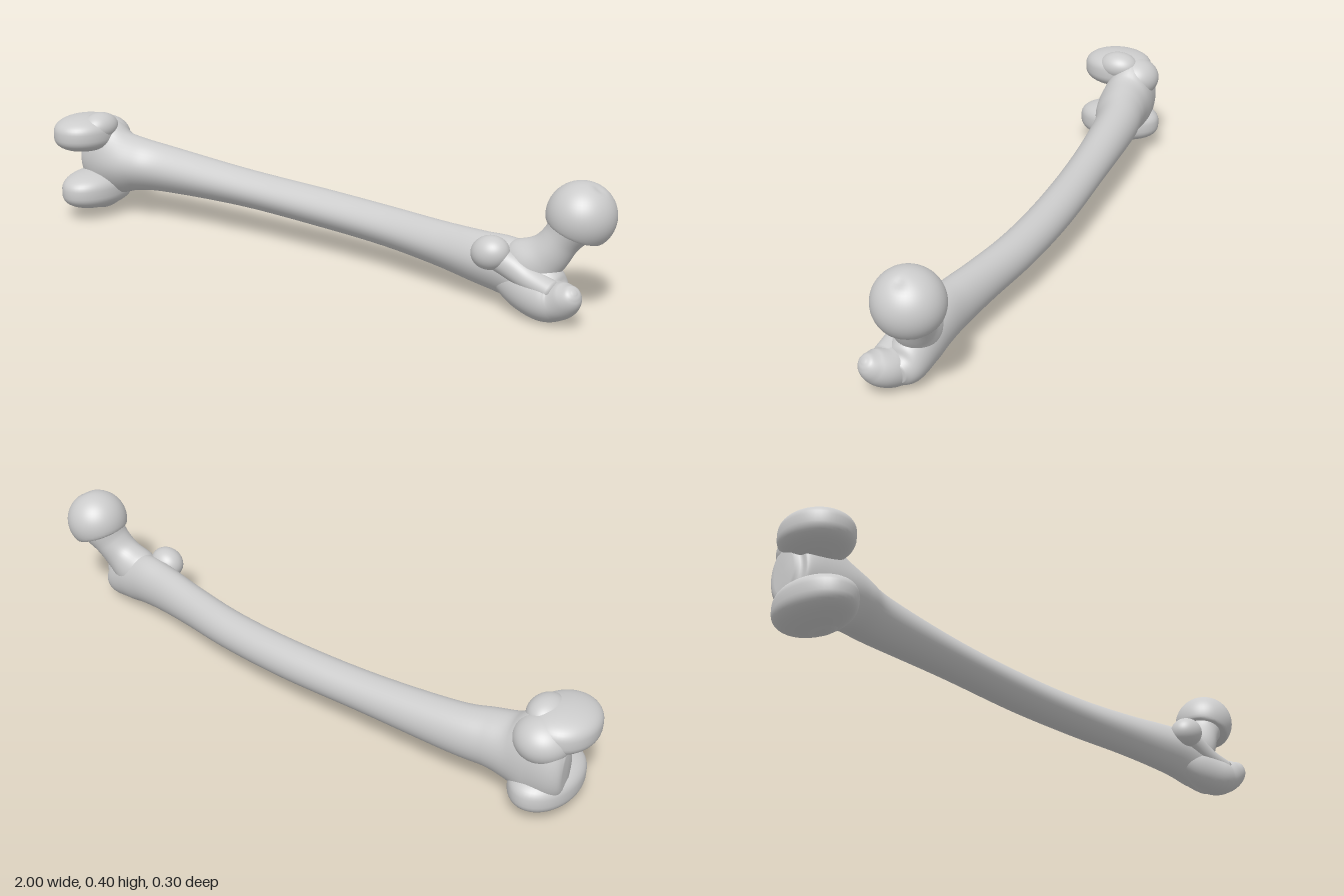
import * as THREE from 'three';
import { mergeVertices } from 'three/addons/utils/BufferGeometryUtils.js';

const material = new THREE.MeshStandardMaterial({ color: 0xcccccc, roughness: 0.8 });
const Z = new THREE.Vector3(0, 0, 1);

function part(name, geometry) {
  const mesh = new THREE.Mesh(geometry, material);
  mesh.name = name;
  return mesh;
}

// Smooth tube through sections [x, y, z, height radius, depth radius];
// ridge narrows the +z side of every section into a crest.
function loft(name, sections, steps, ridge = 0, sides = 40) {
  const path = new THREE.CatmullRomCurve3(sections.map(s => new THREE.Vector3(s[0], s[1], s[2])), false, 'catmullrom');
  const size = new THREE.CatmullRomCurve3(sections.map(s => new THREE.Vector3(s[3], s[4], 0)), false, 'catmullrom');
  const pos = [], idx = [];
  for (let i = 0; i <= steps; i++) {
    const t = i / steps;
    const c = path.getPoint(t), r = size.getPoint(t), T = path.getTangent(t);
    const V = Z.clone().addScaledVector(T, -Z.dot(T)).normalize();
    const U = V.clone().cross(T);
    for (let j = 0; j < sides; j++) {
      const a = j / sides * Math.PI * 2, s = Math.sin(a);
      const pinch = 1 - ridge * Math.max(0, s) ** 2;
      const p = c.clone().addScaledVector(U, Math.cos(a) * r.x * pinch).addScaledVector(V, s * r.y);
      pos.push(p.x, p.y, p.z);
    }
  }
  for (let i = 0; i < steps; i++) {
    for (let j = 0; j < sides; j++) {
      const a = i * sides + j, b = i * sides + (j + 1) % sides;
      idx.push(a, b, a + sides, b, b + sides, a + sides);
    }
  }
  // rounded-over end caps
  const first = path.getPoint(0), last = path.getPoint(1), n = pos.length / 3;
  pos.push(first.x, first.y, first.z, last.x, last.y, last.z);
  for (let j = 0; j < sides; j++) {
    const k = (j + 1) % sides, e = steps * sides;
    idx.push(n, k, j, n + 1, e + j, e + k);
  }
  const g = new THREE.BufferGeometry();
  g.setAttribute('position', new THREE.Float32BufferAttribute(pos, 3));
  g.setIndex(idx);
  g.computeVertexNormals();
  return part(name, g);
}

// Unit sphere reshaped by a rule, then scaled and placed
function knob(name, centre, radii, rule = () => {}, tilt = [0, 0, 0]) {
  let g = new THREE.SphereGeometry(1, 48, 32);
  g.deleteAttribute('uv');
  g.deleteAttribute('normal');
  g = mergeVertices(g, 1e-4);
  const p = g.attributes.position, v = new THREE.Vector3();
  for (let i = 0; i < p.count; i++) {
    v.fromBufferAttribute(p, i);
    rule(v);
    p.setXYZ(i, v.x, v.y, v.z);
  }
  g.scale(...radii);
  g.computeVertexNormals();
  const mesh = part(name, g);
  mesh.position.set(...centre);
  mesh.rotation.set(...tilt);
  return mesh;
}

// Fuller, flatter sides for the condyles
const flattenSides = v => { v.y = Math.sign(v.y) * Math.abs(v.y) ** 0.7; };

export function createModel() {
  const bone = new THREE.Group();
  bone.name = 'thighBone';

  // Bowed shaft, flaring toward the knee and the hip
  bone.add(loft('shaft', [
    [-0.955, 0.19, -0.04, 0.07, 0.035],
    [-0.925, 0.19, -0.045, 0.115, 0.07],
    [-0.86, 0.195, -0.04, 0.143, 0.085],
    [-0.79, 0.19, -0.038, 0.112, 0.088],
    [-0.72, 0.19, -0.048, 0.092, 0.084],
    [-0.6, 0.183, -0.07, 0.079, 0.074],
    [-0.3, 0.168, -0.085, 0.063, 0.065],
    [0, 0.153, -0.088, 0.062, 0.064],
    [0.25, 0.143, -0.073, 0.063, 0.063],
    [0.45, 0.136, -0.043, 0.069, 0.062],
    [0.6, 0.13, -0.018, 0.08, 0.065],
    [0.7, 0.125, -0.007, 0.088, 0.068],
    [0.78, 0.105, 0, 0.085, 0.068],
    [0.85, 0.075, 0.005, 0.062, 0.058],
    [0.89, 0.07, 0.01, 0.03, 0.03],
  ], 120, 0.2));

  // Knee end: two rounded condyles, joined at the -z side with a notch at +z
  bone.add(knob('medialCondyle', [-0.9, 0.293, 0.022], [0.1, 0.062, 0.12], flattenSides));
  bone.add(knob('lateralCondyle', [-0.875, 0.098, 0.003], [0.097, 0.066, 0.146], flattenSides));
  bone.add(knob('medialKneeRidge', [-0.875, 0.27, -0.05], [0.085, 0.07, 0.085]));
  bone.add(knob('medialEpicondyle', [-0.85, 0.315, 0.005], [0.055, 0.048, 0.07]));
  bone.add(knob('lateralEpicondyle', [-0.85, 0.075, 0], [0.055, 0.047, 0.08]));

  // Hip end: neck sweeping up from the shaft
  bone.add(loft('neck', [
    [0.69, 0.11, 0.0, 0.07, 0.05],
    [0.76, 0.14, -0.002, 0.083, 0.064],
    [0.815, 0.185, -0.012, 0.064, 0.06],
    [0.85, 0.235, -0.026, 0.056, 0.064],
    [0.88, 0.285, -0.038, 0.07, 0.075],
    [0.89, 0.31, -0.04, 0.06, 0.06],
  ], 40));

  // Ball head, flattened where it meets the neck, with a shallow pit on top
  const axis = new THREE.Vector3(0.35, 0.93, -0.05).normalize();
  const pit = new THREE.Vector3(0.5, 0.86, 0).normalize();
  bone.add(knob('head', [0.897, 0.306, -0.042], [0.099, 0.098, 0.101], v => {
    const dent = 0.06 * Math.exp(-v.distanceToSquared(pit) / 0.03);
    const d = v.dot(axis);
    if (d < -0.45) v.addScaledVector(axis, (-0.45 - d) * 0.75);
    v.multiplyScalar(1 - dent);
  }));

  // Greater trochanter, hooking upward at its tip
  bone.add(loft('greaterTrochanter', [
    [0.68, 0.1, 0.01, 0.04, 0.03],
    [0.75, 0.085, 0.022, 0.062, 0.052],
    [0.83, 0.068, 0.035, 0.064, 0.064],
    [0.88, 0.076, 0.046, 0.056, 0.058],
    [0.915, 0.098, 0.064, 0.045, 0.043],
    [0.934, 0.117, 0.074, 0.025, 0.026],
    [0.94, 0.123, 0.077, 0.006, 0.006],
  ], 40));

  // Lesser trochanter and the crest linking the two
  bone.add(knob('lesserTrochanter', [0.668, 0.178, 0.052], [0.058, 0.05, 0.05], undefined, [0, 0, 0.25]));
  bone.add(loft('trochantericCrest', [
    [0.65, 0.17, 0.045, 0.03, 0.03],
    [0.72, 0.15, 0.043, 0.038, 0.034],
    [0.79, 0.12, 0.045, 0.035, 0.036],
    [0.87, 0.1, 0.055, 0.03, 0.035],
  ], 24));

  return bone;
}
